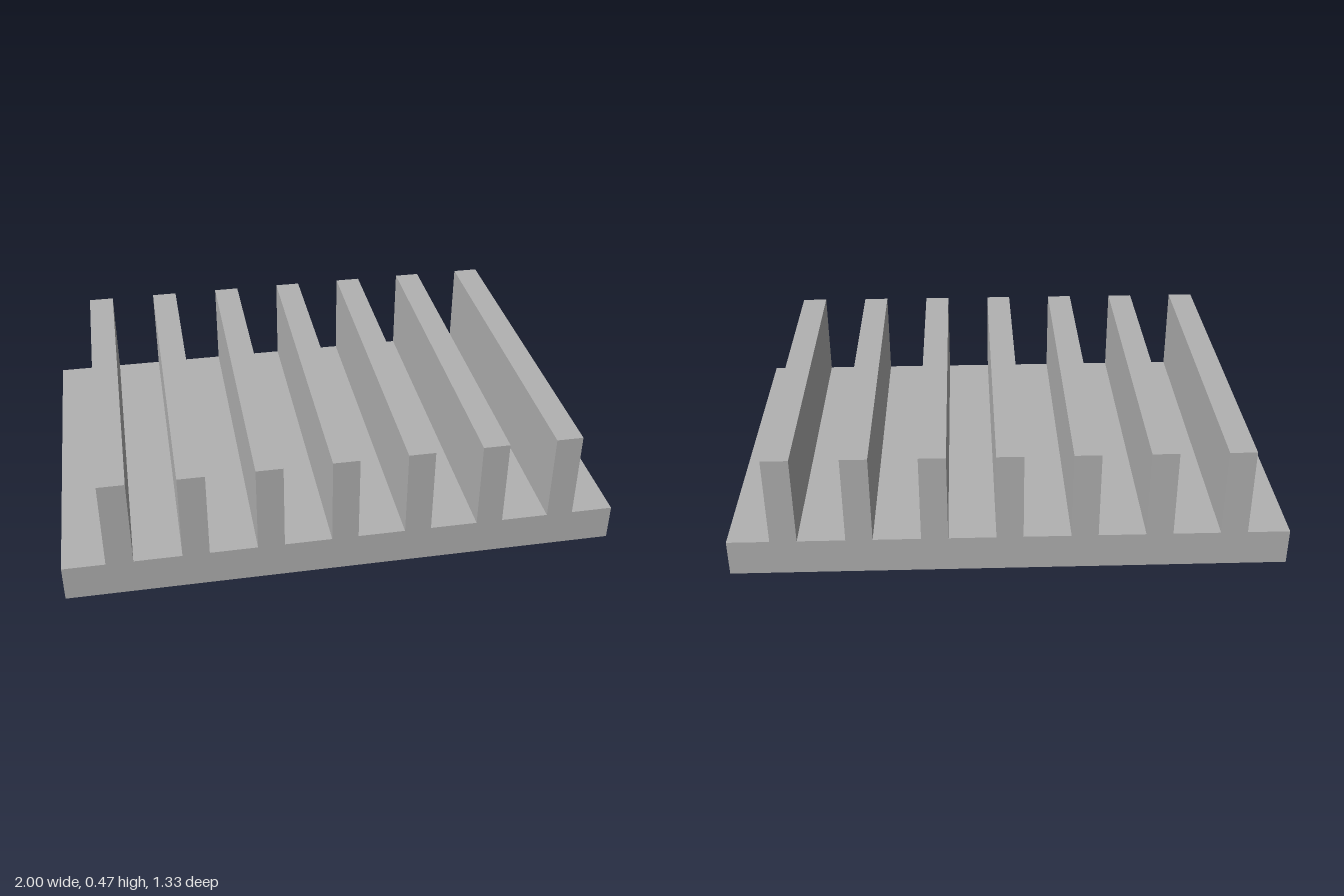
import * as THREE from 'three';

const WIDTH = 2, DEPTH = 1.333;
const BASE_HEIGHT = 0.135, TOP = 0.468;
const FIN_COUNT = 7, FIN_WIDTH = 0.096, FIN_PITCH = 0.2667;

// Cross-section: a flat base with evenly spaced upright fins
function finnedProfile() {
  const shape = new THREE.Shape();
  shape.moveTo(-WIDTH / 2, 0);
  shape.lineTo(WIDTH / 2, 0);
  shape.lineTo(WIDTH / 2, BASE_HEIGHT);
  for (let i = FIN_COUNT - 1; i >= 0; i--) {
    const x = (i - (FIN_COUNT - 1) / 2) * FIN_PITCH;
    const right = x + FIN_WIDTH / 2, left = x - FIN_WIDTH / 2;
    shape.lineTo(right, BASE_HEIGHT);
    shape.lineTo(right, TOP);
    shape.lineTo(left, TOP);
    shape.lineTo(left, BASE_HEIGHT);
  }
  shape.lineTo(-WIDTH / 2, BASE_HEIGHT);
  shape.closePath();
  return shape;
}

export function createModel() {
  const group = new THREE.Group();
  group.name = 'heatSink';

  const metal = new THREE.MeshStandardMaterial({ color: 0xb2b2b2 });
  metal.name = 'grey metal';

  // Base and fins are one extruded bar, running front to back
  const geometry = new THREE.ExtrudeGeometry(finnedProfile(), { depth: DEPTH, bevelEnabled: false });
  geometry.translate(0, 0, -DEPTH / 2);
  const body = new THREE.Mesh(geometry, metal);
  body.name = 'finnedBase';
  group.add(body);

  return group;
}
